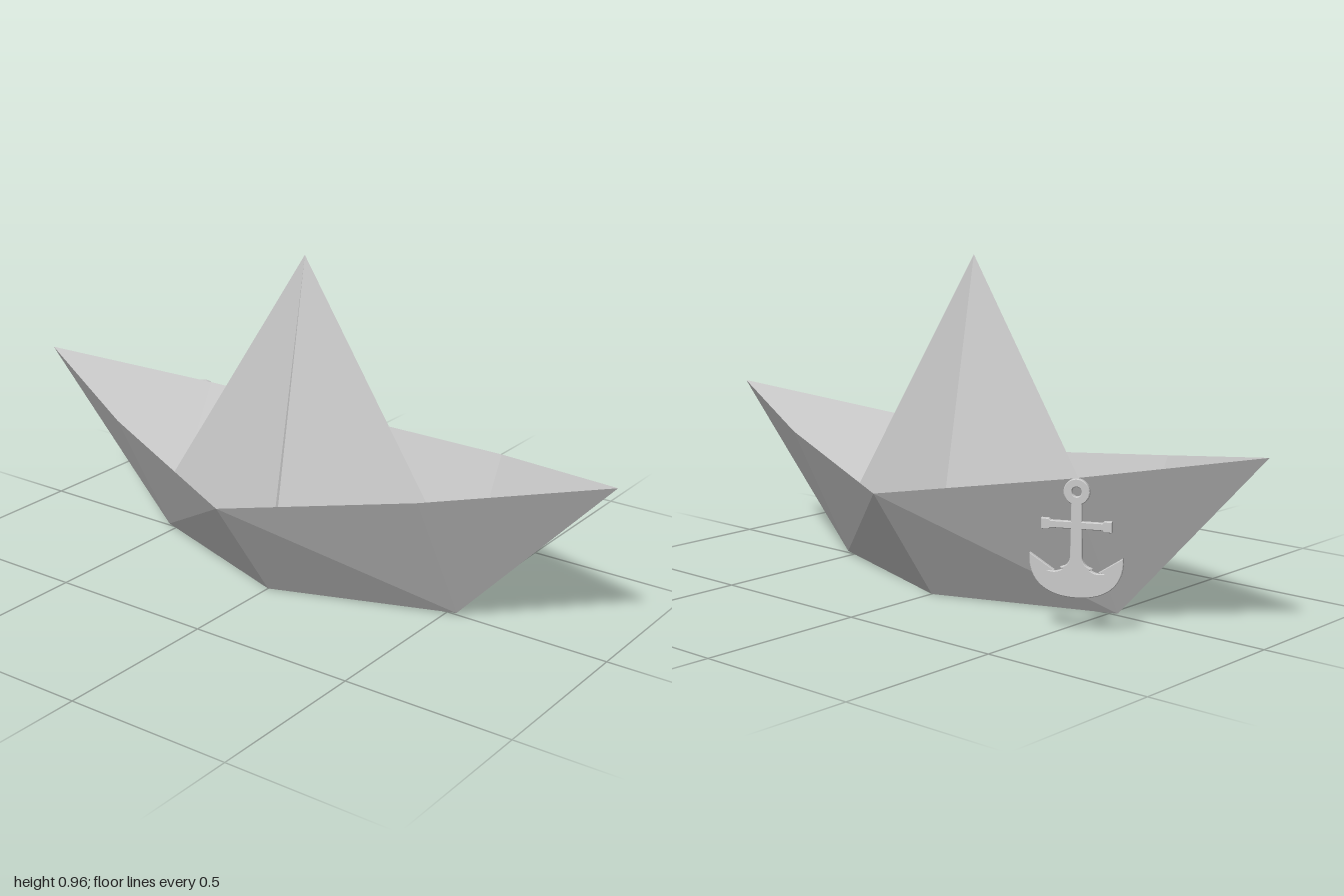
import * as THREE from 'three';

const paper = new THREE.MeshStandardMaterial({ color: 0xcccccc, flatShading: true, side: THREE.DoubleSide });

// Flat panels from triangles of [x, y, z] corners, mirrored by the signs sx and sz
function panels(name, triangles, sx, sz) {
  const flip = sx * sz < 0;
  const points = triangles.flatMap((t) => (flip ? [t[0], t[2], t[1]] : t))
    .map(([x, y, z]) => new THREE.Vector3(x * sx, y, z * sz));
  const geometry = new THREE.BufferGeometry().setFromPoints(points);
  geometry.computeVertexNormals();
  const mesh = new THREE.Mesh(geometry, paper);
  mesh.name = name;
  return mesh;
}

// Hull quarter: tip, rim fold, middle of rim, foot of the bow, middle of the open bottom
const tip = [0, 0.5, 1], rim = [0.22, 0.415, 0.53], mid = [0.41, 0.33, 0];
const foot = [0, 0.005, 0.53], base = [0.18, 0, 0];
const hullQuarter = [[tip, foot, rim], [foot, mid, rim], [foot, base, mid]];

// Sail quarter
const apex = [0, 0.96, 0], sailEnd = [0, 0.1, 0.56], sailSide = [0.17, 0.02, 0];
const slitSide = [0.165, 0.03, 0.013];

function createAnchor() {
  const anchor = new THREE.Group();
  anchor.name = 'anchor';
  const add = (name, shape) => {
    const geometry = new THREE.ExtrudeGeometry(shape, {
      depth: 0.01, curveSegments: 16, bevelThickness: 0.002, bevelSize: 0.002, bevelSegments: 1,
    });
    geometry.translate(0, 0, -0.005);
    const mesh = new THREE.Mesh(geometry, new THREE.MeshStandardMaterial({ color: 0xcccccc }));
    mesh.name = name;
    anchor.add(mesh);
  };

  const ring = new THREE.Shape().absarc(0, 0.384, 0.033, 0, Math.PI * 2);
  ring.holes.push(new THREE.Path().absarc(0, 0.384, 0.015, 0, Math.PI * 2, true));
  add('anchorRing', ring);

  // Shank, flaring where it meets the arms
  const shank = new THREE.Shape();
  shank.moveTo(-0.012, 0.355).lineTo(-0.014, 0.21);
  shank.quadraticCurveTo(-0.017, 0.185, -0.04, 0.18);
  shank.lineTo(0, 0.15).lineTo(0.04, 0.18);
  shank.quadraticCurveTo(0.017, 0.185, 0.014, 0.21);
  shank.lineTo(0.012, 0.355);
  add('anchorShank', shank);

  // Crossbar with thicker ends
  const bar = new THREE.Shape();
  bar.moveTo(-0.093, 0.282).lineTo(-0.075, 0.282).lineTo(-0.07, 0.287).lineTo(0.07, 0.287);
  bar.lineTo(0.075, 0.282).lineTo(0.093, 0.282).lineTo(0.093, 0.308).lineTo(0.075, 0.308);
  bar.lineTo(0.07, 0.303).lineTo(-0.07, 0.303).lineTo(-0.075, 0.308).lineTo(-0.093, 0.308);
  add('anchorCrossbar', bar);

  // Curved arms ending in pointed flukes
  const arms = new THREE.Shape();
  arms.moveTo(0, 0.102);
  arms.bezierCurveTo(0.075, 0.102, 0.128, 0.135, 0.124, 0.212);
  arms.lineTo(0.062, 0.172);
  arms.lineTo(0.08, 0.17);
  arms.quadraticCurveTo(0.05, 0.16, 0.03, 0.18);
  arms.lineTo(-0.03, 0.18);
  arms.quadraticCurveTo(-0.05, 0.16, -0.08, 0.17);
  arms.lineTo(-0.062, 0.172);
  arms.lineTo(-0.124, 0.212);
  arms.bezierCurveTo(-0.128, 0.135, -0.075, 0.102, 0, 0.102);
  add('anchorArms', arms);

  anchor.position.set(0.215, 0, -0.555);
  anchor.rotation.y = 2.016;
  return anchor;
}

export function createModel() {
  const boat = new THREE.Group();
  boat.name = 'paperBoat';
  const hull = new THREE.Group();
  hull.name = 'hull';
  const sail = new THREE.Group();
  sail.name = 'sail';

  for (const sx of [1, -1]) {
    for (const sz of [1, -1]) {
      const place = `${sx > 0 ? 'Left' : 'Right'}${sz > 0 ? 'Front' : 'Back'}`;
      hull.add(panels(`hull${place}`, hullQuarter, sx, sz));
      // One sail panel stops short of its fold and leaves a narrow slit
      const side = sx < 0 && sz < 0 ? slitSide : sailSide;
      sail.add(panels(`sail${place}`, [[apex, sailEnd, side]], sx, sz));
    }
  }

  boat.add(hull, sail, createAnchor());
  return boat;
}
